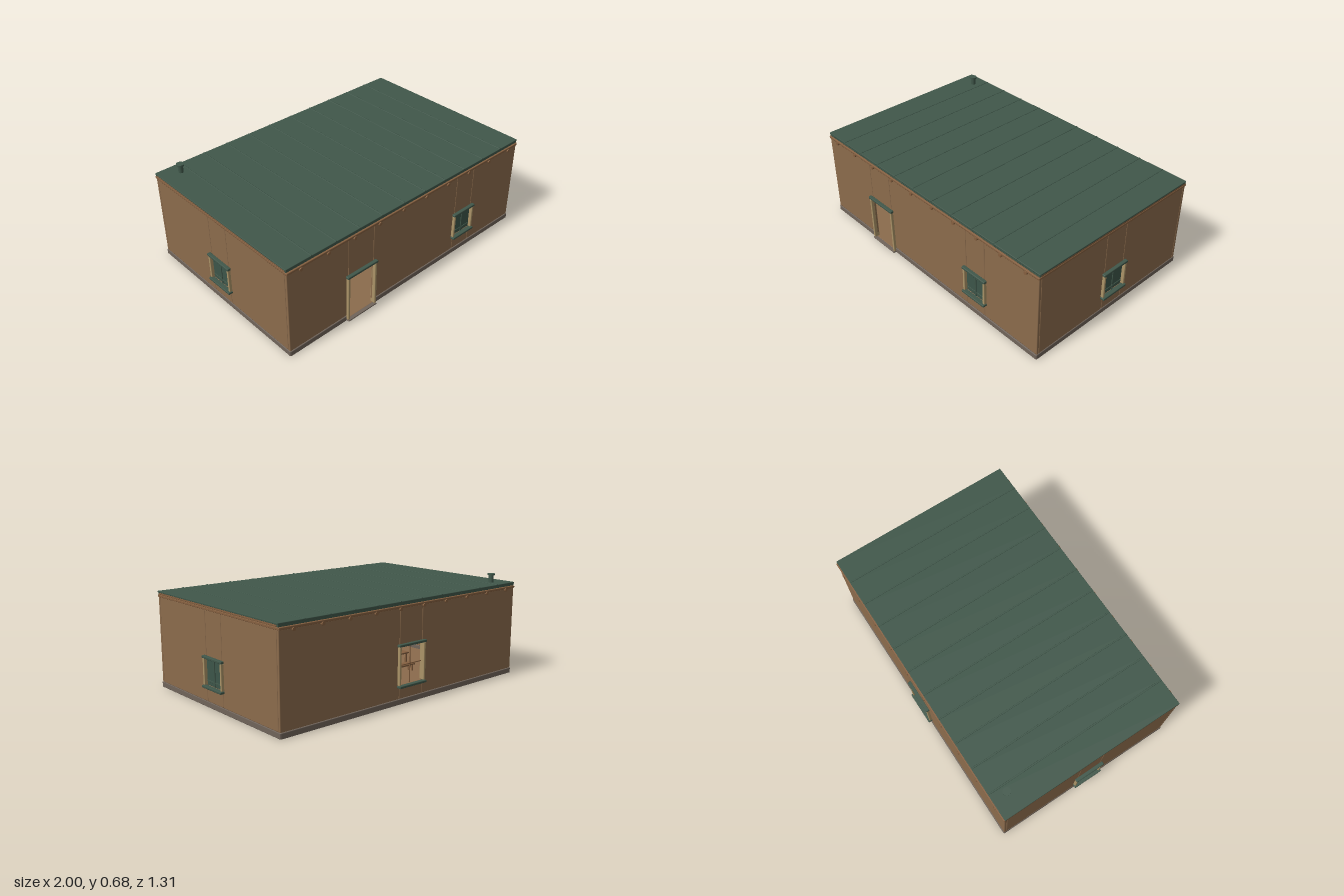
import * as THREE from 'three';
import { RoundedBoxGeometry } from 'three/addons/geometries/RoundedBoxGeometry.js';

const mat = (name, color) => Object.assign(new THREE.MeshStandardMaterial({ color }), { name });
const earth = mat('earth brown wall', 0x8b6b4c);
const stone = mat('grey brown footing', 0x70645a);
const green = mat('dark green paint', 0x40574a);
const pane = mat('shutter green', 0x3c5549);
const tan = mat('pale timber', 0xab9468);
const wood = mat('brown timber', 0x856040);

// Softly chamfered box given by its min and max corners
function box(parent, name, material, x0, x1, y0, y1, z0, z1) {
  const w = x1 - x0, h = y1 - y0, d = z1 - z0;
  const r = Math.min(0.004, Math.min(w, h, d) / 4);
  const mesh = new THREE.Mesh(new RoundedBoxGeometry(w, h, d, 1, r), material);
  mesh.position.set((x0 + x1) / 2, (y0 + y1) / 2, (z0 + z1) / 2);
  mesh.name = name;
  parent.add(mesh);
  return mesh;
}

function cylinder(parent, name, material, r, h, x, y, z, sides = 16) {
  const mesh = new THREE.Mesh(new THREE.CylinderGeometry(r, r, h, sides), material);
  mesh.position.set(x, y, z);
  mesh.name = name;
  parent.add(mesh);
  return mesh;
}

const BASE = 0.035, TOP = 0.586, THICK = 0.018, HX = 0.97, HZ = 0.625;

// Wall facing local +z with its outer face at z = 0, split around its openings
function makeWall(name, half, openings) {
  const wall = new THREE.Group();
  wall.name = name;
  let from = -half;
  for (const o of openings) {
    const { x0, x1, y0, y1 } = o;
    box(wall, 'wallPanel', earth, from, x0, BASE, TOP, -THICK, 0);
    box(wall, 'panelAboveOpening', earth, x0, x1, y1, TOP, -THICK, 0);
    if (y0 > BASE) box(wall, 'panelBelowOpening', earth, x0, x1, BASE, y0, -THICK, 0);
    from = x1;
    addFrame(wall, o);
  }
  box(wall, 'wallPanel', earth, from, half, BASE, TOP, -THICK, 0);
  return wall;
}

// Jambs, header, sill and filling of one opening
function addFrame(wall, { x0, x1, y0, y1, kind }) {
  const j = 0.015;
  box(wall, 'leftJamb', tan, x0 - j, x0, y0, y1, -THICK, 0.018);
  box(wall, 'rightJamb', tan, x1, x1 + j, y0, y1, -THICK, 0.018);
  box(wall, 'header', green, x0 - 0.02, x1 + 0.02, y1, y1 + 0.016, -0.002, 0.022);
  if (kind === 'door') return;
  box(wall, 'sill', green, x0 - 0.018, x1 + 0.018, y0 - 0.015, y0, -0.002, 0.028);

  const mid = (x0 + x1) / 2, my = (y0 + y1) / 2;
  if (kind === 'shutter') {
    for (const [a, b] of [[x0, mid - 0.002], [mid + 0.002, x1]]) {
      box(wall, 'shutterLeaf', pane, a, b, y0, y1, -0.012, -0.002);
      box(wall, 'shutterBatten', green, a + 0.004, b - 0.004, y0 + 0.022, y0 + 0.032, -0.003, 0.002);
    }
    box(wall, 'shutterMeetingRail', green, mid - 0.005, mid + 0.005, y0, y1, -0.012, 0.003);
  } else {
    box(wall, 'verticalBar', wood, mid - 0.003, mid + 0.003, y0, y1, -0.012, -0.006);
    box(wall, 'horizontalBar', wood, x0, x1, my - 0.003, my + 0.003, -0.012, -0.006);
  }
}

function makeFooting() {
  const g = new THREE.Group();
  g.name = 'footing';
  box(g, 'floor', earth, -HX, HX, 0, 0.01, -HZ, HZ);
  box(g, 'backFooting', stone, -HX, HX, 0, BASE, -0.63, -0.6);
  box(g, 'frontFootingRight', stone, -HX, -0.545, 0, BASE, 0.6, 0.63);
  box(g, 'frontFootingLeft', stone, -0.318, HX, 0, BASE, 0.6, 0.63);
  for (const s of [-1, 1]) {
    const a = s * 0.945, b = s * 0.973;
    box(g, 'sideFooting', stone, Math.min(a, b), Math.max(a, b), 0, BASE, -0.628, 0.628);
  }
  box(g, 'doorstep', stone, -0.545, -0.318, 0, 0.009, 0.6, 0.647);
  return g;
}

function makeRoof() {
  const g = new THREE.Group();
  g.name = 'roof';
  // Wall plates and end boards
  for (const s of [-1, 1]) {
    box(g, 'wallPlate', wood, -0.972, 0.972, 0.584, 0.6, s * 0.617 - 0.015, s * 0.617 + 0.015);
    box(g, 'endPlate', wood, s * 0.962 - 0.012, s * 0.962 + 0.012, 0.584, 0.6, -0.63, 0.63);
    box(g, 'endBoard', wood, s * 0.962 - 0.012, s * 0.962 + 0.012, 0.6, 0.614, -0.612, 0.612);
    box(g, 'eaveEdge', green, -0.972, 0.972, 0.6, 0.618, s * 0.617 - 0.007, s * 0.617 + 0.007);
  }
  // Sheet panels with raised seams
  const n = 11, w = 1.95 / n;
  for (let i = 0; i < n; i++) {
    const x = -0.975 + i * w;
    box(g, 'roofPanel', green, x, x + w, 0.612, 0.623, -HZ, HZ);
    if (i) box(g, 'roofSeam', green, x - 0.005, x + 0.005, 0.615, 0.626, -HZ, HZ);
  }
  // Round rafters with ends showing at front and back
  for (let i = 0; i < 10; i++) {
    const rafter = cylinder(g, 'rafter', wood, 0.011, 1.276, -0.878 + i * 0.195, 0.581, 0, 12);
    rafter.rotation.x = Math.PI / 2;
  }
  return g;
}

function makeStovePipe() {
  const g = new THREE.Group();
  g.name = 'stovePipe';
  cylinder(g, 'pipe', green, 0.016, 0.06, -0.85, 0.645, -0.53);
  cylinder(g, 'pipeCap', green, 0.025, 0.01, -0.85, 0.676, -0.53);
  return g;
}

// Slab on four legs
function makeTable(name, x0, x1, top, z0, z1) {
  const g = new THREE.Group();
  g.name = name;
  box(g, 'top', wood, x0, x1, top - 0.012, top, z0, z1);
  for (const x of [x0 + 0.01, x1 - 0.022])
    for (const z of [z0 + 0.008, z1 - 0.02])
      box(g, 'leg', wood, x, x + 0.012, 0.01, top - 0.012, z, z + 0.012);
  return g;
}

export function createModel() {
  const model = new THREE.Group();
  model.name = 'house';

  const front = makeWall('frontWall', HX, [
    { x0: -0.53, x1: -0.332, y0: 0.01, y1: 0.32, kind: 'door' },
    { x0: 0.388, x1: 0.544, y0: 0.14, y1: 0.3, kind: 'shutter' },
  ]);
  front.position.z = HZ;

  const back = makeWall('backWall', HX, [{ x0: -0.095, x1: 0.095, y0: 0.12, y1: 0.355, kind: 'bars' }]);
  back.position.z = -HZ;
  back.rotation.y = Math.PI;
  model.add(front, back);

  for (const s of [-1, 1]) {
    const side = makeWall(s > 0 ? 'leftWall' : 'rightWall', HZ - THICK, [
      { x0: -0.083, x1: 0.083, y0: 0.138, y1: 0.3, kind: 'shutter' },
    ]);
    side.position.x = s * HX;
    side.rotation.y = s * Math.PI / 2;
    model.add(side);
  }

  model.add(makeFooting(), makeRoof(), makeStovePipe());

  // Furniture inside
  model.add(
    makeTable('table', -0.53, -0.12, 0.118, -0.1, 0.08),
    makeTable('frontBench', -0.49, -0.16, 0.066, 0.12, 0.18),
    makeTable('backBench', -0.49, -0.16, 0.066, -0.2, -0.14),
  );
  return model;
}
